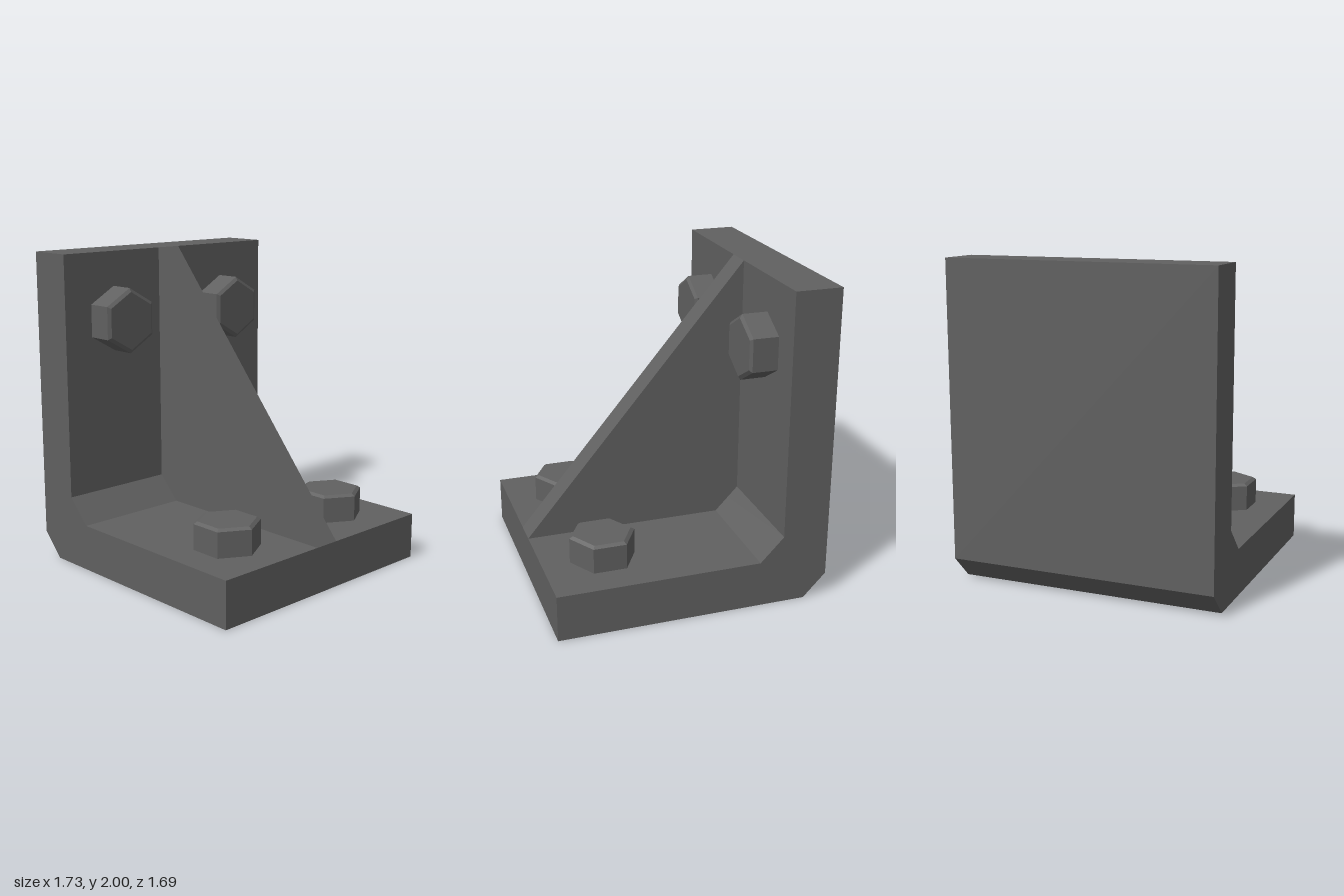
import * as THREE from 'three';

const DEPTH = 1.69;      // bracket width along z
const RIB = 0.17;        // rib thickness
const BOLT_Z = 0.465;

// Extrude an x/y outline, centred on z = 0
function plate(name, points, depth, material) {
  const shape = new THREE.Shape(points.map(([x, y]) => new THREE.Vector2(x, y)));
  const geometry = new THREE.ExtrudeGeometry(shape, { depth, bevelEnabled: false });
  geometry.translate(0, 0, -depth / 2);
  const mesh = new THREE.Mesh(geometry, material);
  mesh.name = name;
  return mesh;
}

// Hexagonal head with a small chamfer, standing on its base, corners along x
function hexHead() {
  const profile = [[0, 0], [0.208, 0], [0.208, 0.162], [0.184, 0.177], [0, 0.177]]
    .map(([r, y]) => new THREE.Vector2(r, y));
  const geometry = new THREE.LatheGeometry(profile, 6).toNonIndexed();
  geometry.computeVertexNormals();
  return geometry.rotateY(Math.PI / 2);
}

export function createModel() {
  const group = new THREE.Group();
  group.name = 'angleBracket';
  const steel = new THREE.MeshStandardMaterial({ color: 0x606060 });
  steel.name = 'dark grey steel';

  // L-shaped body with chamfered outer heel and inner corner
  group.add(plate('bracketBody', [
    [-0.72, 0], [0.865, 0], [0.865, 0.295], [-0.42, 0.295],
    [-0.57, 0.45], [-0.57, 2], [-0.865, 2], [-0.865, 0.15],
  ], DEPTH, steel));

  // Triangular stiffening rib
  group.add(plate('stiffeningRib', [
    [-0.57, 0.45], [-0.42, 0.295], [0.865, 0.295], [-0.57, 2],
  ], RIB, steel));

  // Two bolt heads on each leg
  const flatHead = hexHead();
  const wallHead = hexHead().rotateZ(-Math.PI / 2);
  for (const side of [-1, 1]) {
    const base = new THREE.Mesh(flatHead, steel);
    base.name = side > 0 ? 'baseBoltFront' : 'baseBoltBack';
    base.position.set(0.48, 0.295, side * BOLT_Z);
    const wall = new THREE.Mesh(wallHead, steel);
    wall.name = side > 0 ? 'wallBoltFront' : 'wallBoltBack';
    wall.position.set(-0.57, 1.57, side * BOLT_Z);
    group.add(base, wall);
  }
  return group;
}
